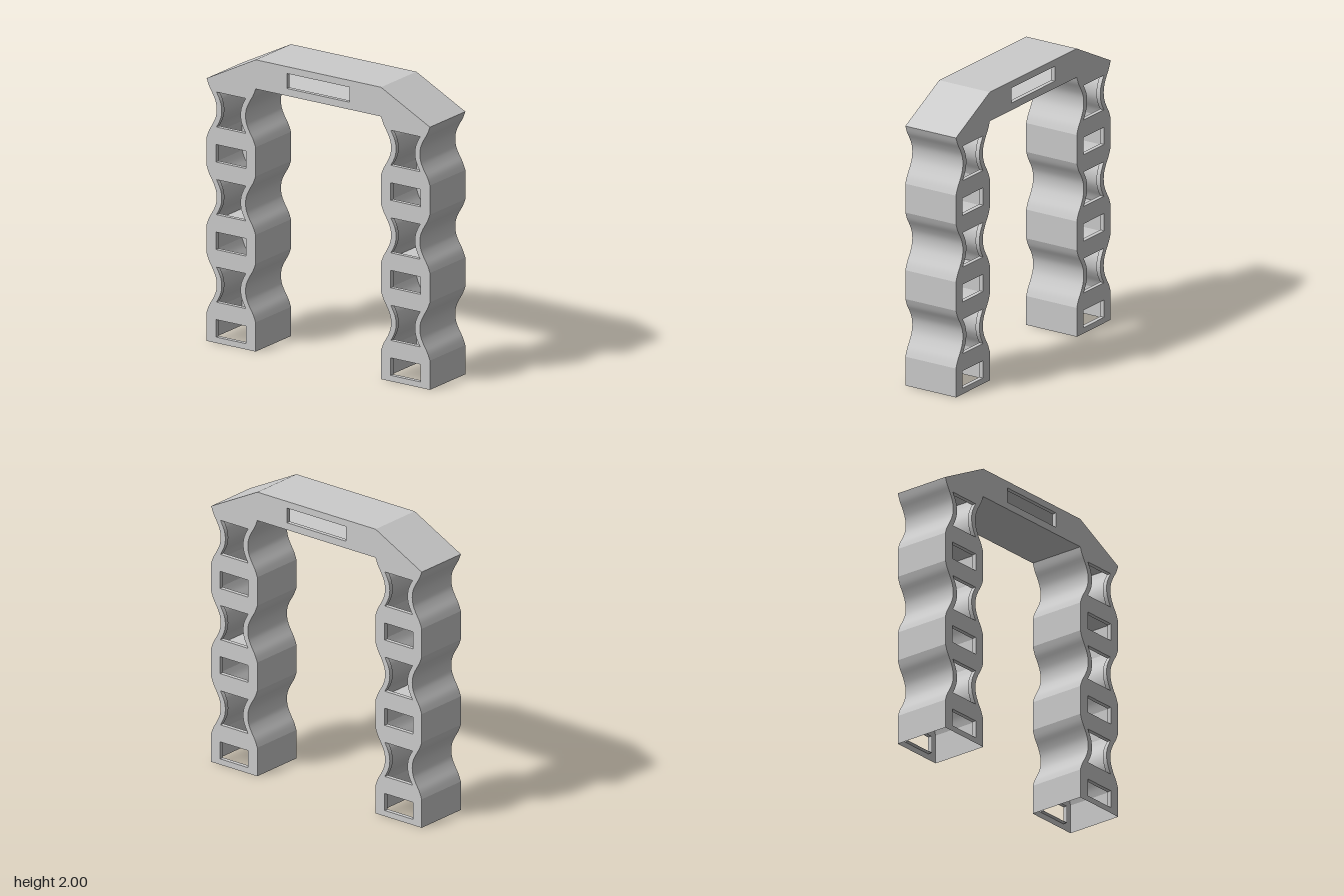
import * as THREE from 'three';

const W = 0.2, LIP = 0.03, OUT = 0.89, IN = 0.5;
const material = new THREE.MeshStandardMaterial({ color: 0xcccccc, side: THREE.DoubleSide });
const oneSided = new THREE.MeshStandardMaterial({ color: 0xcccccc });

// How far a waist pulls in, over half its height
const waistCurve = new THREE.SplineCurve([[0, 0], [0.05, 0.02], [0.1, 0.05], [0.15, 0.073], [0.2, 0.08],
  [0.25, 0.073], [0.3, 0.05], [0.35, 0.02], [0.4, 0]].map(p => new THREE.Vector2(...p)));
const waist = waistCurve.getPoints(24);

function add(group, name, geometry, mat = material) {
  const mesh = new THREE.Mesh(geometry, mat);
  mesh.name = name;
  group.add(mesh);
}

// Surface swept across x along a path of [z, y] points
function strip(points, x0 = -W, x1 = W) {
  const pos = [], index = [];
  points.forEach(([z, y], i) => {
    pos.push(x0, y, z, x1, y, z);
    if (i) {
      const a = 2 * i - 2;
      index.push(a, a + 1, a + 3, a, a + 3, a + 2);
    }
  });
  const g = new THREE.BufferGeometry();
  g.setAttribute('position', new THREE.Float32BufferAttribute(pos, 3));
  g.setIndex(index);
  g.computeVertexNormals();
  return g;
}

// Flat side panel with windows, facing away from the centre
function panel(outline, holes, side) {
  const toPoints = list => list.map(([z, y]) => new THREE.Vector2(-side * z, y));
  const shape = new THREE.Shape(toPoints(outline));
  shape.holes = holes.map(h => new THREE.Path(toPoints(h)));
  return new THREE.ShapeGeometry(shape).rotateY(side * Math.PI / 2).translate(side * W, 0, 0);
}

// Both side panels plus the short rims inside their windows
function addSides(group, name, outline, holes) {
  for (const side of [1, -1]) {
    add(group, name + 'SidePanel', panel(outline, holes, side));
    for (const hole of holes) {
      const path = [...hole, hole[0]].reverse();
      const [x0, x1] = side > 0 ? [W - LIP, W] : [-W, LIP - W];
      for (let i = 1; i < path.length; i++) {
        add(group, name + 'WindowRim', strip([path[i - 1], path[i]], x0, x1));
      }
    }
  }
}

const rect = (z0, z1, y0, y1) => [[z0, y0], [z1, y0], [z1, y1], [z0, y1]];

function makeLeg(name) {
  const leg = new THREE.Group();
  leg.name = name;
  const outer = [], inner = [], holes = [];
  for (let k = 0; k < 3; k++) {
    const y = k * 0.6;
    // Straight block
    const blockOut = [[OUT, y], [OUT, y + 0.2]], blockIn = [[IN, y], [IN, y + 0.2]];
    // Pinched waist
    const waistOut = waist.map(p => [OUT - p.y, y + 0.2 + p.x]);
    const waistIn = waist.map(p => [IN + p.y, y + 0.2 + p.x]);
    for (const path of [blockOut, waistOut]) add(leg, 'legOuterWall', strip(path));
    for (const path of [blockIn, waistIn]) add(leg, 'legInnerWall', strip([...path].reverse()));
    outer.push(blockOut[0], ...waistOut);
    inner.push(blockIn[0], ...waistIn);
    // Windows: a rectangle in the block, a curved one in the waist
    holes.push(rect(0.577, 0.815, y + 0.04, y + 0.16));
    const ys = Array.from({ length: 17 }, (_, i) => 0.08 + 0.015 * i);
    const pull = t => {
      const i = waist.findIndex(p => p.x >= t - 1e-6), a = waist[i - 1], b = waist[i];
      return THREE.MathUtils.mapLinear(t, a.x, b.x, a.y, b.y);
    };
    holes.push([
      ...ys.map(t => [OUT - 0.04 - pull(t), y + 0.2 + t]),
      ...ys.map(t => [IN + 0.04 + pull(t), y + 0.2 + t]).reverse(),
    ]);
  }
  addSides(leg, 'leg', [...outer, ...inner.reverse()], holes);
  // Inner floor and ceiling of the middle section
  add(leg, 'legInnerFloor', strip([[OUT, 0.8], [IN, 0.8]]), oneSided);
  add(leg, 'legInnerCeiling', strip([[IN, 1.4], [OUT, 1.4]]), oneSided);
  return leg;
}

function makeBeam() {
  const beam = new THREE.Group();
  beam.name = 'beam';
  const outline = [[OUT, 1.8], [IN, 2], [-IN, 2], [-OUT, 1.8]];
  const names = ['frontSlope', 'beamTop', 'backSlope', 'beamUnderside'];
  names.forEach((n, i) => add(beam, n, strip([outline[i], outline[(i + 1) % 4]])));
  addSides(beam, 'beam', outline, [rect(-0.25, 0.25, 1.85, 1.953)]);
  return beam;
}

export function createModel() {
  const model = new THREE.Group();
  model.name = 'archway';
  const backLeg = makeLeg('backLeg');
  backLeg.rotation.y = Math.PI;
  model.add(makeLeg('frontLeg'), backLeg, makeBeam());
  return model;
}
